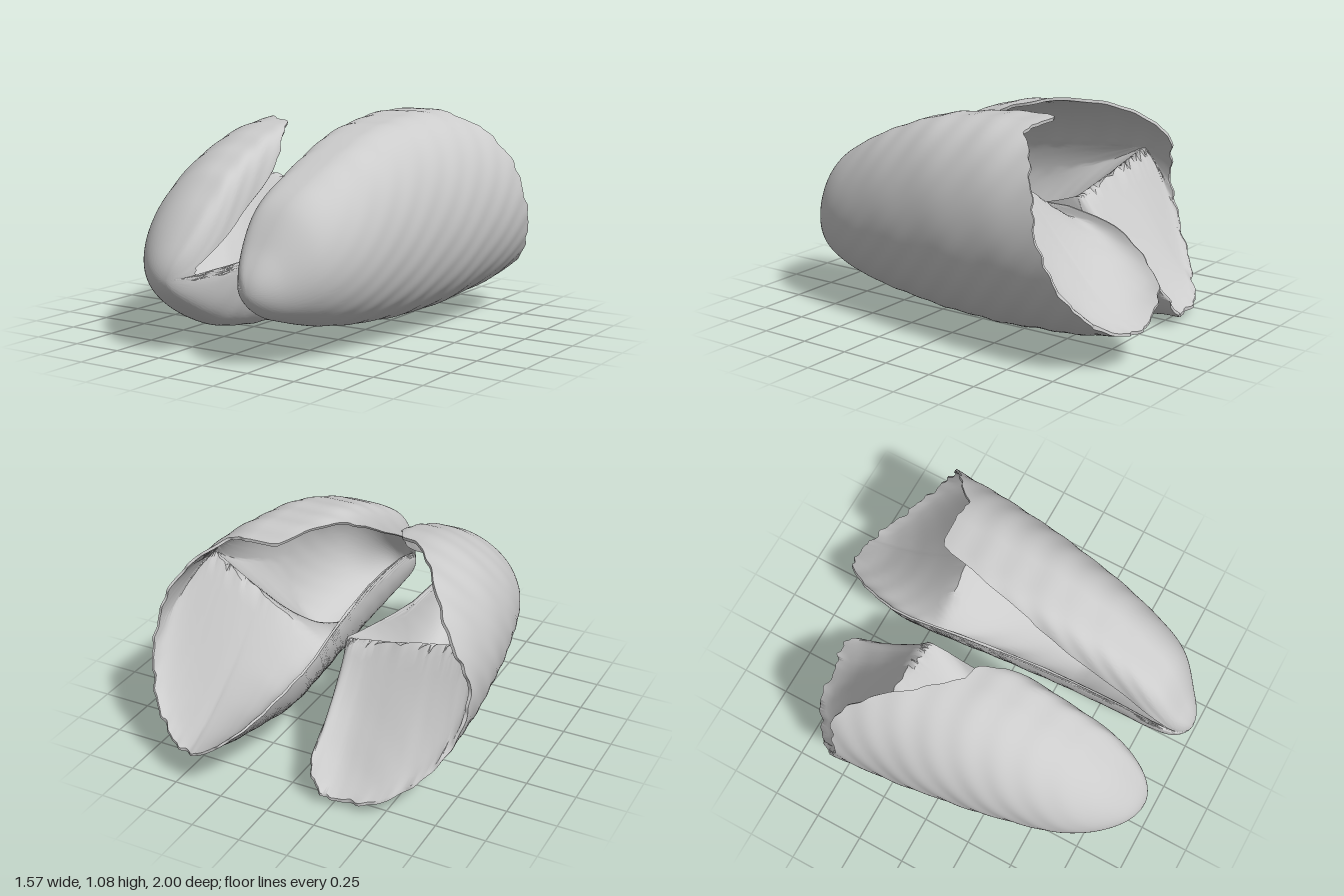
import * as THREE from 'three';
import { toCreasedNormals } from 'three/addons/utils/BufferGeometryUtils.js';

const { clamp, lerp } = THREE.MathUtils;
const smooth = (a, b, v) => THREE.MathUtils.smoothstep(v, a, b);

// Smooth interpolation of column c in rows of [key, value, ...], keys ascending
function curve(rows, c, key) {
  const k = clamp(key, rows[0][0], rows[rows.length - 1][0]);
  let i = 0;
  while (i < rows.length - 2 && k > rows[i + 1][0]) i++;
  const slope = (a, b) => (rows[b][c] - rows[a][c]) / (rows[b][0] - rows[a][0]);
  const tangent = n => slope(Math.max(0, n - 1), Math.min(rows.length - 1, n + 1));
  const h = rows[i + 1][0] - rows[i][0], t = (k - rows[i][0]) / h, t2 = t * t, t3 = t2 * t;
  return (2 * t3 - 3 * t2 + 1) * rows[i][c] + (t3 - 2 * t2 + t) * h * tangent(i)
    + (3 * t2 - 2 * t3) * rows[i + 1][c] + (t3 - t2) * h * tangent(i + 1);
}

// Sections: [z, inner x, outer x, bottom y, top y], hinge end first.
// Rim: [angle, z where the shell ends]; 0 = inward, 90 = up, 180 = outward.
// Ridge: [height at x = 0, rise per unit of x].
const rightValve = {
  side: -1, front: 0.97, centre: 0.33, inTop: 0.36, inBottom: 0.7, ridge: [0.59, 0.2],
  sections: [
    [0.97, 0.23, 0.23, 0.36, 0.36], [0.9, 0.12, 0.4, 0.24, 0.53], [0.75, 0.065, 0.53, 0.14, 0.7],
    [0.6, 0.055, 0.6, 0.08, 0.82], [0.2, 0.055, 0.7, 0.02, 0.99], [-0.2, 0.055, 0.76, 0.0, 1.045],
    [-0.5, 0.06, 0.785, 0.01, 1.045], [-0.85, 0.08, 0.78, 0.03, 1.02],
  ],
  rim: [
    [0, 0.88], [14, 0.87], [27, 0.65], [42, 0.34], [65, 0.2], [80, 0.09], [90, 0], [103, -0.13],
    [123, -0.35], [142, -0.49], [160, -0.48], [180, -0.47], [195, -0.52], [214, -0.61], [231, -0.7],
    [244, -0.77], [257, -0.81], [280, -0.83], [300, -0.84], [317, -0.79], [330, -0.6], [338, -0.4],
    [347, -0.1], [353, 0.55], [360, 0.88],
  ],
};
const leftValve = {
  side: 1, front: 1.0, centre: 0.5, inTop: 0.36, inBottom: 1.4, ridge: [0.52, 0.6],
  sections: [
    [1, 0.25, 0.25, 0.36, 0.36], [0.93, 0.15, 0.39, 0.25, 0.53], [0.8, 0.11, 0.52, 0.2, 0.73],
    [0.6, 0.1, 0.6, 0.15, 0.86], [0.2, 0.07, 0.68, 0.1, 1.02], [-0.2, 0.03, 0.74, 0.085, 1.075],
    [-0.5, 0.0, 0.77, 0.1, 1.075], [-0.75, 0.03, 0.785, 0.13, 1.07], [-1, 0.08, 0.77, 0.175, 1.05],
  ],
  rim: [
    [0, -0.35], [6, 0.4], [11, 0.89], [19, 0.89], [30, 0.68], [45, 0.33], [67, 0.02], [80, -0.24],
    [87, -0.41], [108, -0.43], [130, -0.54], [150, -0.61], [180, -0.69], [210, -0.8], [240, -0.91],
    [265, -0.98], [290, -1], [312, -0.98], [328, -0.9], [342, -0.76], [352, -0.6], [360, -0.35],
  ],
};

// Outside of a valve at depth z and angle a, with the middle and half sizes of its section
function outside(v, rows, z, a, u) {
  const s = Math.sqrt(Math.max(0, v.front - z));
  const [xi, xo, yb, yt] = [1, 2, 3, 4].map(c => curve(rows, c, s));
  const c = Math.cos(a), n = Math.sin(a);
  const midX = lerp(xi, xo, v.centre), midY = (yb + yt) / 2, rx = xo - midX, ry = (yt - yb) / 2;
  const power = n > 0 ? v.inTop : lerp(1, v.inBottom, smooth(0, 0.3, -n));
  const reach = c > 0 ? Math.pow(c, power) * (midX - xi) : c * rx;
  // Growth ribs slanting across the outside
  const rib = 1 + 0.005 * smooth(0.15, 0.6, u) * (
    Math.sin(38 * z + 16 * n - 5 * c) - 1 + 0.7 * Math.sin(17 * z + 3 * a));
  return { x: midX - reach * rib, y: midY + n * rib * ry, midX, midY, rx, ry };
}

// One valve: an outer skin folded over the rim into an inner skin
function valveGeometry(v) {
  const NU = 64, NA = 180, pos = [], idx = [];
  const rows = v.sections.map(([z, ...r]) => [Math.sqrt(v.front - z), ...r]);
  for (let row = 0; row <= 2 * NU + 1; row++) {
    const inner = row > NU;
    const u = (inner ? 2 * NU + 1 - row : row) / NU;
    for (let j = 0; j <= NA; j++) {
      const deg = (j % NA) / NA * 360, a = deg * Math.PI / 180;
      // Slightly chipped rim
      const chip = 0.006 * (Math.sin(11 * a) + Math.sin(23 * a + 1) + 0.7 * Math.sin(37 * a));
      const edge = curve(v.rim, 1, deg);
      let z = lerp(v.front, Math.max(-1, edge + chip), Math.pow(u, 1.5));
      let { x, y, midX, midY, rx, ry } = outside(v, rows, z, a, u);
      if (inner) {
        const k = 0.87 + 0.1 * u;
        x = lerp(midX, x, k);
        y = lerp(midY, y, k);
        // Floor rises to a cross ridge between the front cavity and the rear basin
        const crest = v.ridge[0] + v.ridge[1] * x;
        const start = Math.min(edge, -0.4);
        const rise = Math.pow(clamp((z - start) / (-0.34 - start), 0, 1), 1.25)
          * (1 - clamp((z + 0.32) / 0.7, 0, 1));
        if (y < crest) {
          y = lerp(y, crest, rise);
          // Keep the raised floor within the outer wall
          const n = Math.min(1, Math.abs(y - midY) / (k * ry + 1e-6));
          x = Math.min(x, midX + k * rx * Math.sqrt(1 - n * n));
        }
        z -= 0.06 * (1 - u);
      }
      pos.push(v.side * x, y, z);
    }
  }
  const w = NA + 1;
  for (let r = 0; r < 2 * NU + 1; r++) {
    for (let j = 0; j < NA; j++) {
      const a = r * w + j, b = a + 1, c = a + w, d = c + 1;
      if (v.side > 0) idx.push(a, b, c, b, d, c);
      else idx.push(a, c, b, b, c, d);
    }
  }
  const g = new THREE.BufferGeometry();
  g.setAttribute('position', new THREE.Float32BufferAttribute(pos, 3));
  g.setIndex(idx);
  return toCreasedNormals(g, 0.9);
}

export function createModel() {
  const group = new THREE.Group();
  group.name = 'openClamShell';
  const material = new THREE.MeshStandardMaterial({ color: 0xcccccc, side: THREE.DoubleSide });
  for (const [name, valve] of [['leftValve', leftValve], ['rightValve', rightValve]]) {
    const mesh = new THREE.Mesh(valveGeometry(valve), material);
    mesh.name = name;
    group.add(mesh);
  }
  return group;
}
